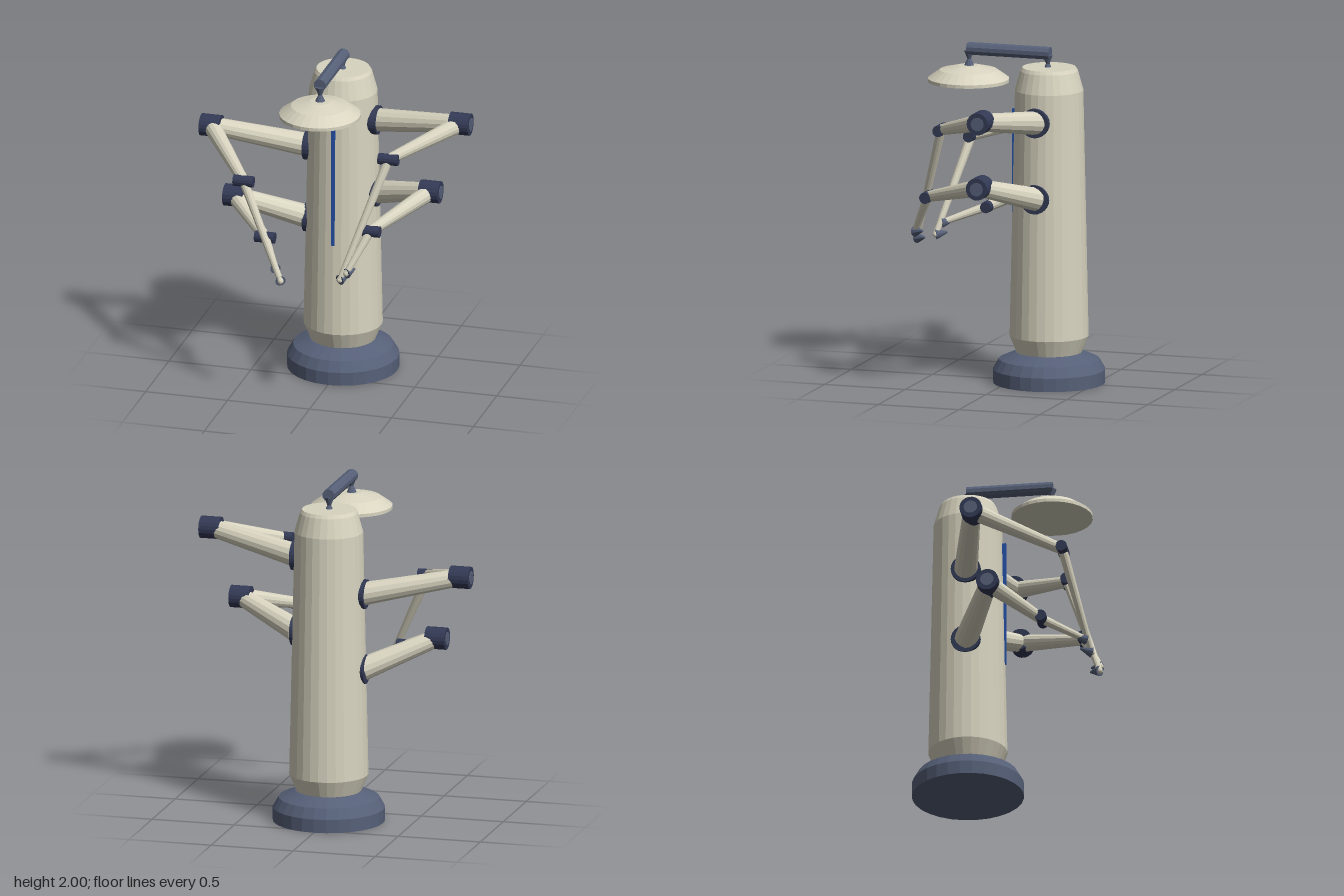
import * as THREE from 'three';

const mat = (name, color) => {
  const m = new THREE.MeshStandardMaterial({ color, flatShading: true });
  m.name = name;
  return m;
};

export function createModel() {
  const model = new THREE.Group();
  model.name = 'surgicalRobot';
  const cream = mat('cream', 0xd8d4c0);
  const slate = mat('slate', 0x566078);
  const navy = mat('navy', 0x333a55);
  const blue = mat('blue', 0x2450a8);
  const columnZ = -0.223;

  const add = (parent, name, geometry, material, x = 0, y = 0, z = 0) => {
    const mesh = new THREE.Mesh(geometry, material);
    mesh.name = name;
    mesh.position.set(x, y, z);
    parent.add(mesh);
    return mesh;
  };
  const lathe = (points, sides = 28) =>
    new THREE.LatheGeometry(points.map(([r, y]) => new THREE.Vector2(r, y)), sides);

  // Tapered rod between two points
  const rod = (parent, name, a, b, ra, rb, material, sides = 14) => {
    const dir = b.clone().sub(a);
    const mesh = add(parent, name, new THREE.CylinderGeometry(rb, ra, dir.length(), sides), material);
    mesh.position.copy(a).add(b).multiplyScalar(0.5);
    mesh.quaternion.setFromUnitVectors(new THREE.Vector3(0, 1, 0), dir.normalize());
    return mesh;
  };
  // Cylinder lying along x
  const pivot = (parent, name, p, r, length, material, sides = 18) => {
    const g = new THREE.CylinderGeometry(r, r, length, sides).rotateZ(Math.PI / 2);
    return add(parent, name, g, material, p.x, p.y, p.z);
  };

  // Base and column
  add(model, 'base', lathe([[0, 0], [0.33, 0], [0.33, 0.08], [0.295, 0.14], [0.2, 0.182], [0, 0.182]]),
    slate, 0, 0, columnZ);
  add(model, 'column', lathe([[0, 0.17], [0.188, 0.17], [0.233, 0.28], [0.202, 1.745],
    [0.17, 1.86], [0.158, 1.88], [0, 1.88]]), cream, 0, 0, columnZ);
  add(model, 'lightStrip', new THREE.BoxGeometry(0.02, 0.78, 0.025), blue, 0, 1.23, -0.009);

  // Overhead boom, its two necks and the lamp
  const boom = new THREE.CylinderGeometry(0.038, 0.038, 0.51, 10).rotateX(Math.PI / 2);
  add(model, 'boom', boom, slate, 0, 1.962, 0.025);
  for (const z of [-0.215, 0.272]) {
    add(model, 'boomNeck', lathe([[0, 1.855], [0.032, 1.855], [0.011, 1.9], [0.03, 1.95], [0, 1.95]], 12),
      slate, 0, 0, z);
  }
  add(model, 'lamp', lathe([[0, 1.765], [0.24, 1.765], [0.24, 1.785], [0.17, 1.835],
    [0.06, 1.862], [0, 1.862]]), cream, 0, 0, 0.276);

  // Arms: shoulder, elbow, wrist and tip positions
  const arms = [
    ['upperLeftArm', [0.2, 1.58, -0.205], [0.764, 1.675, -0.055], [0.426, 1.55, 0.303], [0.193, 0.85, 0.53]],
    ['lowerLeftArm', [0.2, 1.125, -0.205], [0.598, 1.252, 0.006], [0.345, 1.13, 0.412], [0.232, 0.895, 0.53]],
    ['upperRightArm', [-0.2, 1.375, -0.205], [-0.765, 1.485, -0.085], [-0.43, 1.358, 0.402], [-0.167, 0.805, 0.535]],
    ['lowerRightArm', [-0.2, 0.92, -0.205], [-0.6, 1.088, -0.012], [-0.338, 0.96, 0.265], [-0.205, 0.87, 0.51]],
  ];
  for (const [name, ...joints] of arms) {
    const arm = new THREE.Group();
    arm.name = name;
    model.add(arm);
    const [shoulder, elbow, wrist, tip] = joints.map((p) => new THREE.Vector3(...p));
    const side = Math.sign(shoulder.x);

    pivot(arm, 'shoulderRing', shoulder, 0.087, 0.05, navy, 24);
    rod(arm, 'upperArm', shoulder, elbow, 0.07, 0.052, cream);
    pivot(arm, 'elbow', elbow, 0.066, 0.122, navy);
    const cap = elbow.clone();
    cap.x += side * 0.062;
    pivot(arm, 'elbowCap', cap, 0.04, 0.006, slate);
    rod(arm, 'forearm', elbow, wrist, 0.052, 0.032, cream);
    pivot(arm, 'wrist', wrist, 0.034, 0.12, navy, 14);
    rod(arm, 'hand', wrist, tip, 0.028, 0.018, cream, 12);

    // Rounded fingertip and the small cone tool behind it
    add(arm, 'fingertip', new THREE.SphereGeometry(0.019, 10, 8), cream, tip.x, tip.y, tip.z);
    const toolEnd = tip.clone().add(new THREE.Vector3(side * 0.035, 0.012, -0.06));
    rod(arm, 'tool', tip, toolEnd, 0.032, 0.006, slate, 10);
  }
  return model;
}
